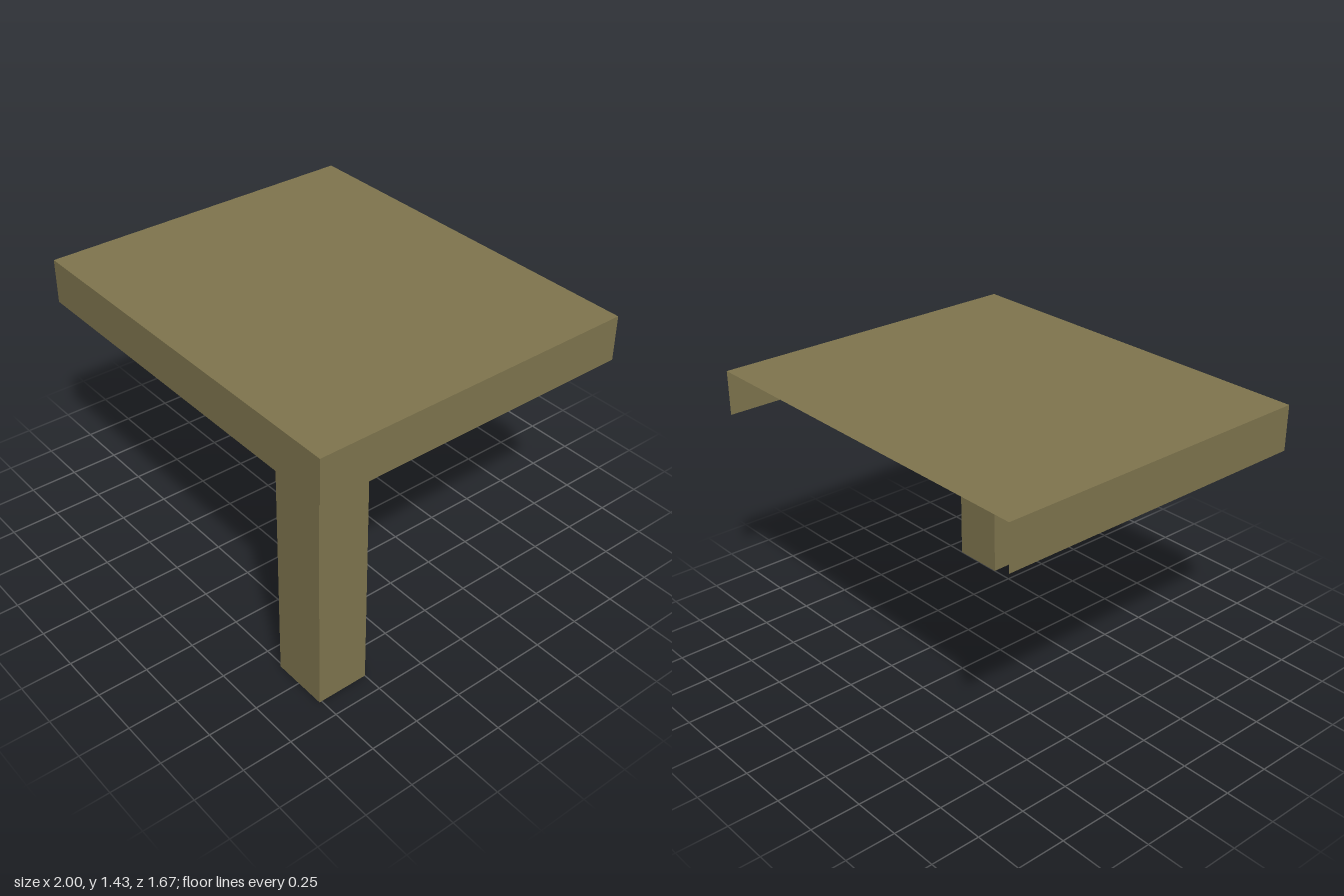
import * as THREE from 'three';

const material = new THREE.MeshStandardMaterial({ color: 0x7f754e, side: THREE.DoubleSide, flatShading: true });

// Thin rectangular sheet, turned by rx / ry and placed at (x, y, z)
function panel(name, w, h, [x, y, z], rx = 0, ry = 0) {
  const mesh = new THREE.Mesh(new THREE.PlaneGeometry(w, h), material);
  mesh.name = name;
  mesh.rotation.set(rx, ry, 0);
  mesh.position.set(x, y, z);
  return mesh;
}

export function createModel() {
  const model = new THREE.Group();
  model.name = 'table';

  // Table top: a hollow slab, open underneath and at the back
  const width = 2, depth = 1.67, top = 1.435, under = 1.21;
  const apron = top - under, midY = (top + under) / 2;
  const slab = new THREE.Group();
  slab.name = 'tableTop';
  slab.add(panel('topSheet', width, depth, [0, top, 0], -Math.PI / 2));
  slab.add(panel('frontApron', width, apron, [0, midY, depth / 2]));
  for (const s of [1, -1]) {
    slab.add(panel(s > 0 ? 'leftApron' : 'rightApron', depth, apron,
      [s * width / 2, midY, 0], 0, s * Math.PI / 2));
  }
  model.add(slab);

  // Single corner leg: a square tube with open ends
  const legW = 0.285, legD = 0.262;
  const leg = new THREE.Group();
  leg.name = 'leg';
  leg.position.set(0.757, under / 2, 0.631);
  for (const s of [1, -1]) {
    leg.add(panel(s > 0 ? 'legFront' : 'legBack', legW, under,
      [0, 0, s * legD / 2], 0, s > 0 ? 0 : Math.PI));
    leg.add(panel(s > 0 ? 'legLeft' : 'legRight', legD, under,
      [s * legW / 2, 0, 0], 0, s * Math.PI / 2));
  }
  model.add(leg);

  return model;
}
